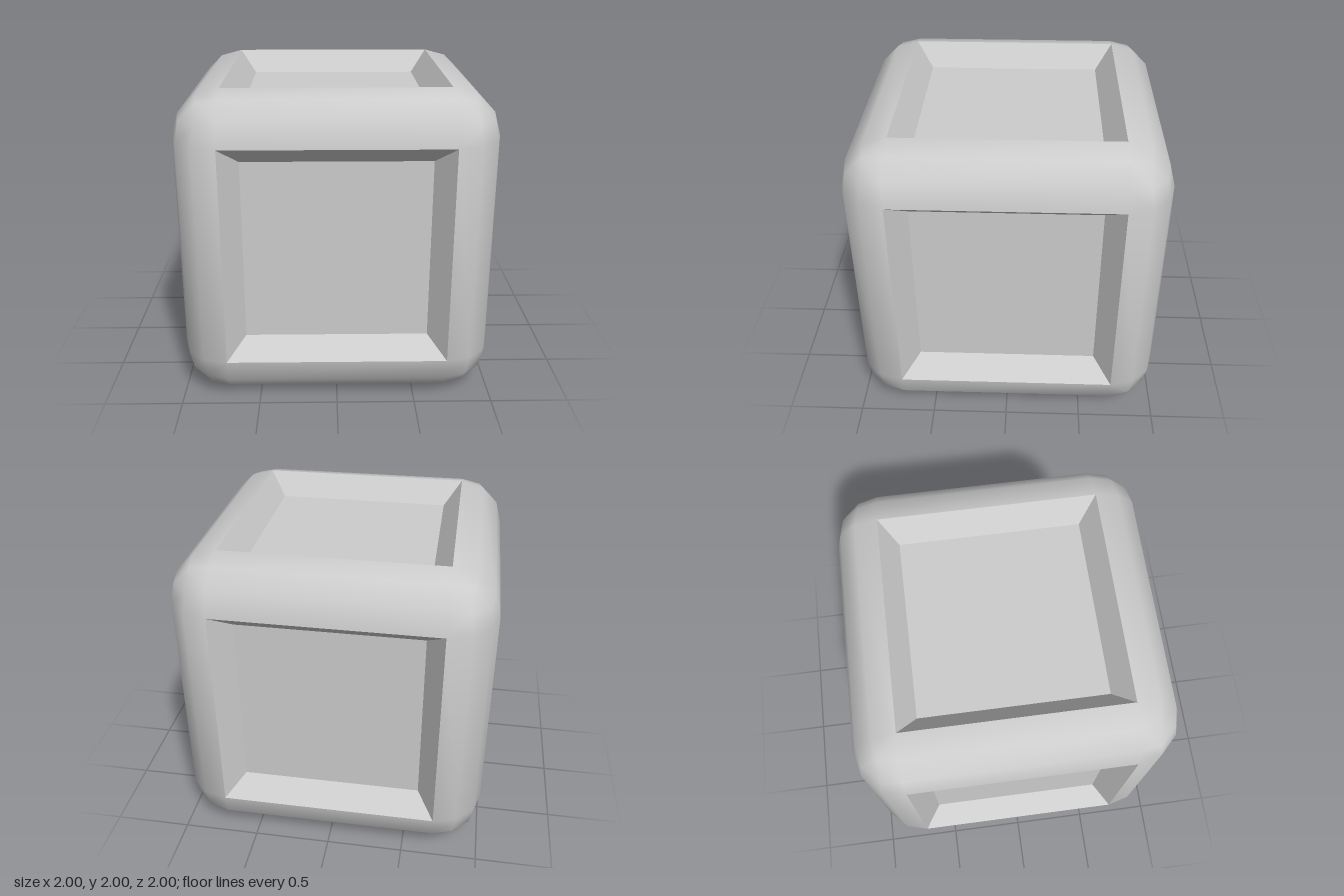
import * as THREE from 'three';
import { toCreasedNormals } from 'three/addons/utils/BufferGeometryUtils.js';

const FLAT = 0.7;    // half width of each face opening
const RADIUS = 0.3;  // edge rounding
const FLOOR = 0.585; // half width of each recess floor
const DEPTH = 0.15;  // recess depth
const STEPS = 3;     // segments per rounded edge

// Fan-triangulate a polygon into a flat position list
function addPolygon(out, pts) {
  for (let i = 1; i < pts.length - 1; i++) {
    for (const p of [pts[0], pts[i], pts[i + 1]]) out.push(p.x, p.y, p.z);
  }
}

// Same, wound so that it faces away from the cube centre
function addOutward(out, pts) {
  const normal = pts[1].clone().sub(pts[0]).cross(pts[2].clone().sub(pts[0]));
  addPolygon(out, normal.dot(pts[0]) < 0 ? [...pts].reverse() : pts);
}

function toGeometry(positions, crease) {
  const g = new THREE.BufferGeometry();
  g.setAttribute('position', new THREE.Float32BufferAttribute(positions, 3));
  return toCreasedNormals(g, crease);
}

// Point on the rounding of the corner whose signs are given
function cornerPoint(signs, dir) {
  return new THREE.Vector3(...signs.map((s, i) => s * (FLAT + RADIUS * dir[i])));
}

// Direction on the arc from axis a to axis b
function arcDir(a, b, step) {
  const t = (step / STEPS) * Math.PI / 2;
  const d = [0, 0, 0];
  d[a] = Math.cos(t);
  d[b] = Math.sin(t);
  return d;
}

// Direction of the inner corner vertex that leans towards one axis
function innerDir(axis) {
  const d = [0.43, 0.43, 0.43];
  d[axis] = 0.794;
  return d;
}

function roundedFrame() {
  const out = [];
  // Rounded edges: three strips along each of the twelve edges
  for (let c = 0; c < 3; c++) {
    const a = (c + 1) % 3, b = (c + 2) % 3;
    for (const sa of [-1, 1]) for (const sb of [-1, 1]) {
      const ends = [-1, 1].map((sc) => {
        const s = [0, 0, 0];
        s[a] = sa; s[b] = sb; s[c] = sc;
        return s;
      });
      for (let i = 0; i < STEPS; i++) {
        const d0 = arcDir(a, b, i), d1 = arcDir(a, b, i + 1);
        addOutward(out, [
          cornerPoint(ends[0], d0), cornerPoint(ends[1], d0),
          cornerPoint(ends[1], d1), cornerPoint(ends[0], d1),
        ]);
      }
    }
  }
  // Rounded corners: three tip quads, three side quads and a middle triangle
  for (const sx of [-1, 1]) for (const sy of [-1, 1]) for (const sz of [-1, 1]) {
    const at = (dir) => cornerPoint([sx, sy, sz], dir);
    for (let a = 0; a < 3; a++) {
      const b = (a + 1) % 3, c = (a + 2) % 3;
      addOutward(out, [at(arcDir(a, b, 0)), at(arcDir(a, b, 1)), at(innerDir(a)), at(arcDir(a, c, 1))]);
      addOutward(out, [at(arcDir(a, b, 1)), at(arcDir(a, b, 2)), at(innerDir(b)), at(innerDir(a))]);
    }
    addOutward(out, [0, 1, 2].map((a) => at(innerDir(a))));
  }
  return toGeometry(out, 0.75);
}

// Square recess facing +z: four sloping walls and a floor
function recess() {
  const out = [];
  const ring = (half, z) => [[-1, -1], [1, -1], [1, 1], [-1, 1]]
    .map(([x, y]) => new THREE.Vector3(x * half, y * half, z));
  const rim = ring(FLAT, 1), floor = ring(FLOOR, 1 - DEPTH);
  for (let i = 0; i < 4; i++) {
    const j = (i + 1) % 4;
    addPolygon(out, [rim[i], rim[j], floor[j], floor[i]]);
  }
  addPolygon(out, floor);
  return toGeometry(out, 0.3);
}

export function createModel() {
  const model = new THREE.Group();
  model.name = 'recessedCube';
  const material = new THREE.MeshStandardMaterial({ color: 0xcccccc });

  const frame = new THREE.Mesh(roundedFrame(), material);
  frame.name = 'roundedFrame';
  frame.position.y = 1;
  model.add(frame);

  // One recessed panel on each of the six sides
  const panel = recess();
  const q = Math.PI / 2;
  const sides = {
    frontPanel: [0, 0], backPanel: [0, 2 * q], leftPanel: [0, q],
    rightPanel: [0, -q], topPanel: [-q, 0], bottomPanel: [q, 0],
  };
  for (const [name, [rx, ry]] of Object.entries(sides)) {
    const mesh = new THREE.Mesh(panel, material);
    mesh.name = name;
    mesh.rotation.set(rx, ry, 0);
    mesh.position.y = 1;
    model.add(mesh);
  }
  return model;
}
